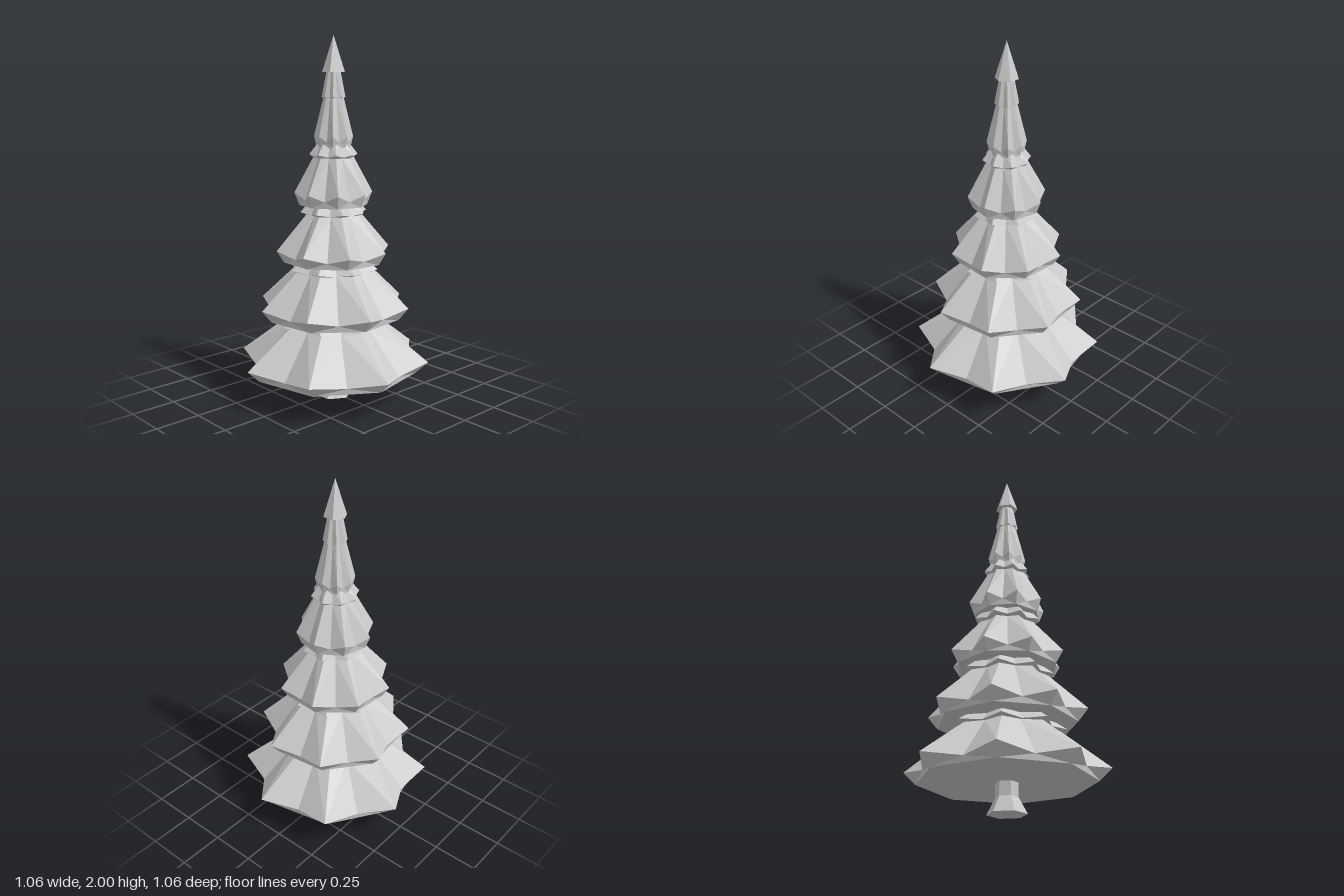
import * as THREE from 'three';

const POINTS = 8;

// A star ring: tips at radius r and height y, valleys at radius r * ratio and height yValley.
function starRing(r, y, ratio, yValley, turn) {
  return Array.from({ length: POINTS * 2 }, (_, k) => {
    const a = turn + (k * Math.PI) / POINTS;
    const valley = k % 2 === 1;
    const radius = valley ? r * ratio : r;
    return [radius * Math.cos(a), valley ? yValley : y, radius * Math.sin(a)];
  });
}

// Skin a stack of rings from bottom to top; a ring of radius 0 closes an end.
function loft(rings) {
  const n = POINTS * 2;
  const positions = [];
  for (let i = 0; i < rings.length - 1; i++) {
    for (let k = 0; k < n; k++) {
      const m = (k + 1) % n;
      const a = rings[i][k], b = rings[i][m], c = rings[i + 1][k], d = rings[i + 1][m];
      // mirrored diagonals keep every point symmetric
      if (k % 2) positions.push(...a, ...c, ...b, ...b, ...c, ...d);
      else positions.push(...a, ...c, ...d, ...a, ...d, ...b);
    }
  }
  const geometry = new THREE.BufferGeometry();
  geometry.setAttribute('position', new THREE.Float32BufferAttribute(positions, 3));
  geometry.computeVertexNormals();
  return geometry;
}

// One tier of boughs: flat octagonal underside, star-shaped skirt, small collar above it.
function tierGeometry({ turn, bottom, tip, r, neck, neckY, collar, collarY, top, topY }) {
  const t = THREE.MathUtils.degToRad(turn);
  const flat = Math.cos(Math.PI / POINTS);
  const valleyY = (bottom + tip) / 2;
  return loft([
    starRing(0, bottom, 1, bottom, t),
    starRing(r * 0.874, bottom, flat, bottom, t),
    starRing(r, tip, 0.815, valleyY, t),
    starRing(neck, neckY, 0.84, neckY, t),
    starRing(collar, collarY, 0.82, collarY - 0.012, t),
    starRing(top, topY, 0.85, topY, t),
    starRing(0, topY, 1, topY, t),
  ]);
}

const TIERS = [
  { turn: 10.7, bottom: 0.16, tip: 0.225, r: 0.538, neck: 0.28, neckY: 0.425, collar: 0.315, collarY: 0.435, top: 0.22, topY: 0.5 },
  { turn: 15.7, bottom: 0.467, tip: 0.535, r: 0.43, neck: 0.225, neckY: 0.73, collar: 0.255, collarY: 0.742, top: 0.17, topY: 0.81 },
  { turn: 27, bottom: 0.78, tip: 0.845, r: 0.321, neck: 0.155, neckY: 1.04, collar: 0.187, collarY: 1.055, top: 0.13, topY: 1.12 },
  { turn: 35.5, bottom: 1.09, tip: 1.16, r: 0.215, neck: 0.112, neckY: 1.35, collar: 0.132, collarY: 1.368, top: 0.085, topY: 1.43 },
  { turn: 44, bottom: 1.405, tip: 1.465, r: 0.106, neck: 0.055, neckY: 1.67, collar: 0.064, collarY: 1.675, top: 0.038, topY: 1.81 },
];

export function createModel() {
  const tree = new THREE.Group();
  tree.name = 'tree';
  const grey = new THREE.MeshStandardMaterial({ color: 0xcccccc, flatShading: true });
  grey.name = 'plain grey';

  const add = (name, geometry, y = 0) => {
    const mesh = new THREE.Mesh(geometry, grey);
    mesh.name = name;
    mesh.position.y = y;
    tree.add(mesh);
  };

  // Six-sided trunk with a flared foot
  add('trunkFoot', new THREE.CylinderGeometry(0.06, 0.106, 0.085, 6), 0.0425);
  add('trunk', new THREE.CylinderGeometry(0.06, 0.06, 0.085, 6), 0.1275);

  // Five tiers of boughs, smaller towards the top
  TIERS.forEach((tier, i) => add(`boughTier${i + 1}`, tierGeometry(tier)));

  // Pointed six-sided tip
  add('treeTip', new THREE.ConeGeometry(0.063, 0.195, 6), 1.9025);

  return tree;
}
